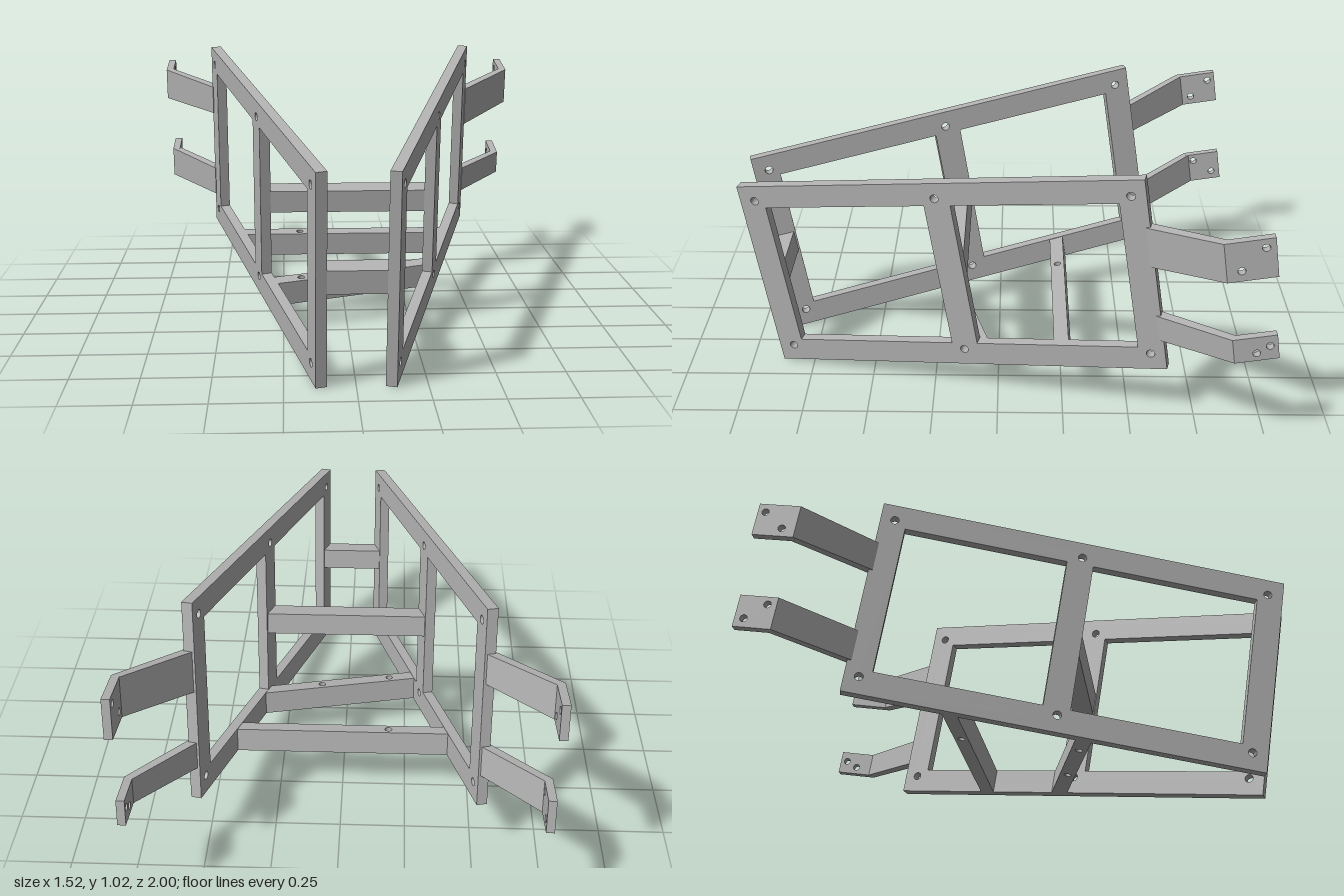
import * as THREE from 'three';

const YAW = THREE.MathUtils.degToRad(15); // splay of each side frame
const PITCH = THREE.MathUtils.degToRad(9); // backward rise of the whole chassis
const LENGTH = 1.58, HEIGHT = 0.79, BAR = 0.1, PLATE = 0.04, TAB = 0.03;

// Inner face of a side frame: half width at distance d behind the front
const innerX = (d) => 0.1 + d * Math.tan(YAW);

function rectPath(path, x0, y0, x1, y1) {
  path.moveTo(x0, y0);
  path.lineTo(x1, y0);
  path.lineTo(x1, y1);
  path.lineTo(x0, y1);
  path.closePath();
  return path;
}

function drill(shape, holes, radius) {
  for (const [x, y] of holes) {
    shape.holes.push(new THREE.Path().absarc(x, y, radius, 0, Math.PI * 2, true));
  }
}

const extrude = (shape, depth) =>
  new THREE.ExtrudeGeometry(shape, { depth, bevelEnabled: false, curveSegments: 10 });

// Plate with two windows, a middle post and six bolt holes
function sideFrameGeometry() {
  const shape = rectPath(new THREE.Shape(), 0, 0, LENGTH, HEIGHT);
  for (const [a, b] of [[BAR, 0.747], [0.85, LENGTH - BAR]]) {
    shape.holes.push(rectPath(new THREE.Path(), a, 0.096, b, HEIGHT - 0.092));
  }
  for (const s of [0.06, 0.793, LENGTH - 0.055]) drill(shape, [[s, 0.068], [s, 0.727]], 0.016);
  return extrude(shape, PLATE);
}

// Beam from its plan outline (x, distance back), standing from height h to h + tall
function beamGeometry(outline, h, tall, holes = []) {
  const shape = new THREE.Shape(outline.map(([x, d]) => new THREE.Vector2(x, d)));
  drill(shape, holes, 0.014);
  return extrude(shape, tall).rotateX(-Math.PI / 2).translate(0, h, 0);
}

// Straight crossbar whose ends follow the splayed frames
function crossbarGeometry(d0, d1, h, tall, holes) {
  const a = innerX(d0) + 0.005, b = innerX(d1) + 0.005;
  return beamGeometry([[-a, d0], [a, d0], [b, d1], [-b, d1]], h, tall, holes);
}

// Angled arm joining the frame end to a tab
function armGeometry(side, x, d, startLow, startHigh, low, high) {
  const geo = new THREE.BoxGeometry(1, 1, 1);
  const p = geo.attributes.position;
  for (let i = 0; i < p.count; i++) {
    const outer = p.getX(i) * side > 0, top = p.getY(i) > 0, far = p.getZ(i) < 0;
    const [px, pd] = far
      ? (outer ? [x, d] : [x - TAB, d + 0.015])
      : (outer ? [0.547, 1.51] : [0.515, 1.53]);
    const py = far ? (top ? high : low) : (top ? startHigh : startLow);
    p.setXYZ(i, side * px, py, -pd);
  }
  const flat = geo.toNonIndexed();
  flat.computeVertexNormals();
  return flat;
}

export function createModel() {
  const steel = new THREE.MeshStandardMaterial({ color: 0xb4b4b4 });
  steel.name = 'grey steel';

  const model = new THREE.Group();
  model.name = 'chassis';
  const frame = new THREE.Group();
  frame.name = 'pitchedFrame';
  frame.rotation.x = PITCH;
  frame.position.set(0, 0, 0.876);
  model.add(frame);

  const add = (name, geometry, parent = frame) => {
    const mesh = new THREE.Mesh(geometry, steel);
    mesh.name = name;
    parent.add(mesh);
    return mesh;
  };

  // Splayed side frames
  const left = add('leftSideFrame', sideFrameGeometry().translate(0, 0, -PLATE));
  left.rotation.y = Math.PI / 2 - YAW;
  left.position.x = 0.14;
  const right = add('rightSideFrame', sideFrameGeometry());
  right.rotation.y = Math.PI / 2 + YAW;
  right.position.x = -0.14;

  // Crossbars at mid height and along the floor
  add('frontCrossbar', crossbarGeometry(0.013, 0.1, 0.35, 0.086));
  add('middleCrossbar', crossbarGeometry(0.735, 0.822, 0.35, 0.086));
  add('rearFloorBar', crossbarGeometry(1.118, 1.174, 0, 0.094, [[-0.18, 1.146]]));

  // Slanted floor bar, square to the right side frame
  const slope = Math.tan(YAW), mid = 0.742, half = 0.031;
  const line = (x, o) => [x, mid + o + slope * x];
  add('slantedFloorBar', beamGeometry([
    line(-0.278, -half), line(0.317, -half), line(0.334, half), line(-0.296, half),
  ], 0, 0.094, [line(-0.18, 0), line(0.1, 0)]), frame);

  // Rear mounting brackets: angled arm and drilled tab
  const brackets = [
    { name: 'leftUpperBracket', side: 1, x: 0.76, start: [0.442, 0.602], d: [1.755, 1.93],
      h: [0.465, 0.617], holes: [[1.895, 0.583], [1.807, 0.505]] },
    { name: 'leftLowerBracket', side: 1, x: 0.742, start: [0.13, 0.235], d: [1.757, 1.915],
      h: [0.123, 0.22], holes: [[1.886, 0.178], [1.837, 0.154]] },
    { name: 'rightUpperBracket', side: -1, x: 0.765, start: [0.5, 0.617], d: [1.755, 1.915],
      h: [0.493, 0.624], holes: [[1.885, 0.59], [1.807, 0.527]] },
    { name: 'rightLowerBracket', side: -1, x: 0.75, start: [0.125, 0.245], d: [1.755, 1.9],
      h: [0.125, 0.252], holes: [[1.79, 0.222], [1.865, 0.16]] },
  ];
  for (const { name, side, x, start, d, h, holes } of brackets) {
    const group = new THREE.Group();
    group.name = name;
    frame.add(group);
    add('arm', armGeometry(side, x, d[0], ...start, ...h), group);
    const shape = rectPath(new THREE.Shape(), d[0], h[0], d[1], h[1]);
    drill(shape, holes, 0.014);
    const tab = add('tab', extrude(shape, TAB), group);
    tab.rotation.y = Math.PI / 2;
    tab.position.x = side > 0 ? x - TAB : -x;
  }
  return model;
}
